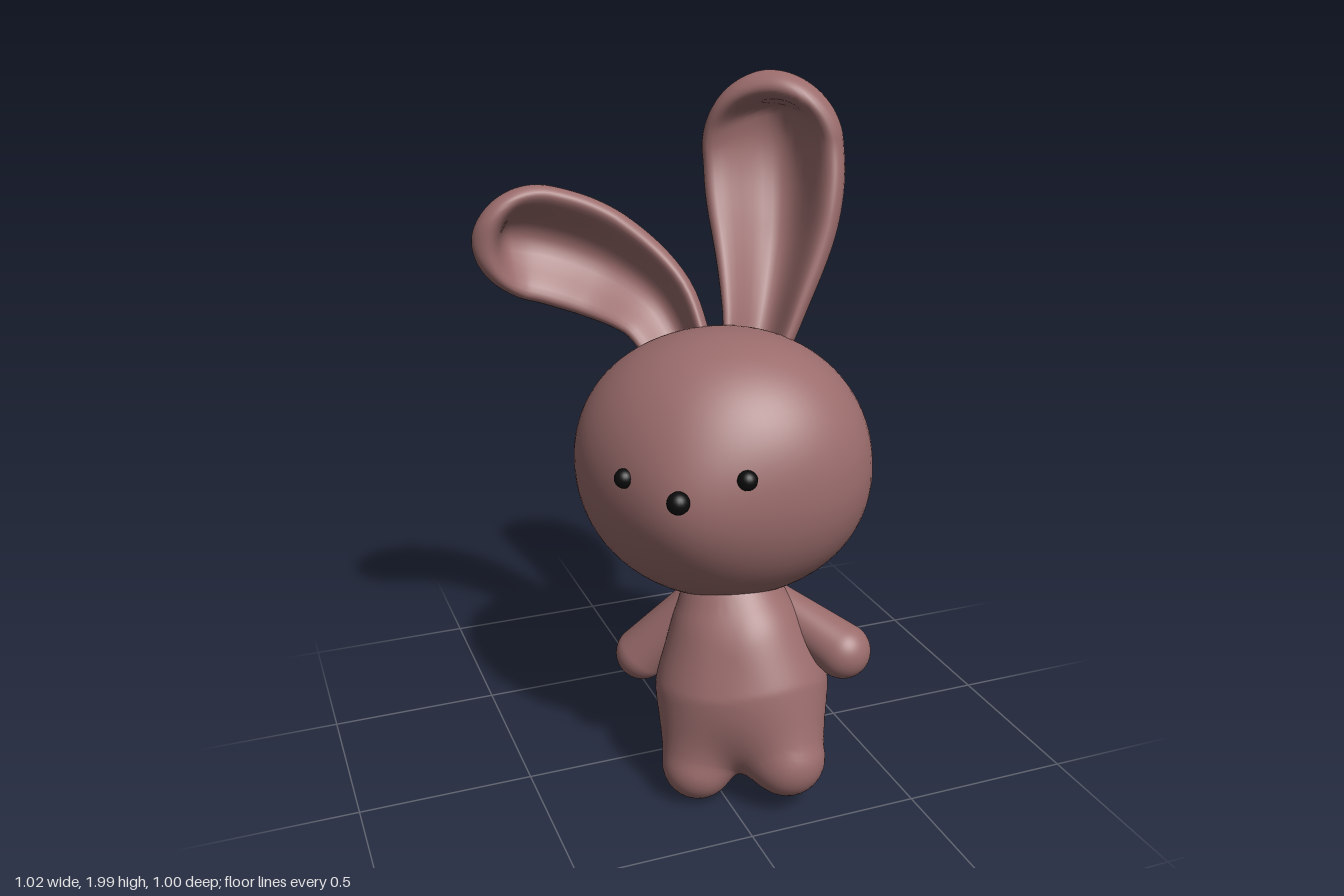
import * as THREE from 'three';
import { mergeVertices } from 'three/addons/utils/BufferGeometryUtils.js';

const V = (x, y, z) => new THREE.Vector3(x, y, z);
const { lerp, smoothstep, clamp } = THREE.MathUtils;
const fur = new THREE.MeshStandardMaterial({ color: 0x9b6c6c });
fur.name = 'dusty pink fur';
const black = new THREE.MeshStandardMaterial({ color: 0x0b0b0b });
black.name = 'black';

function part(name, geometry, material = fur) {
  const mesh = new THREE.Mesh(geometry, material);
  mesh.name = name;
  return mesh;
}

// Unit sphere whose vertices are moved by a rule, with seamless smooth normals
function mouldedSphere(rule, cols = 72, rows = 48) {
  let g = new THREE.SphereGeometry(1, cols, rows);
  g.deleteAttribute('uv');
  g.deleteAttribute('normal');
  g = mergeVertices(g, 1e-5);
  const pos = g.attributes.position;
  const p = V(0, 0, 0);
  for (let i = 0; i < pos.count; i++) {
    rule(p.fromBufferAttribute(pos, i));
    pos.setXYZ(i, p.x, p.y, p.z);
  }
  g.computeVertexNormals();
  return g;
}

// Distance to a tapered limb running from a (radius ra) to b (radius rb)
function limb(a, ra, b, rb) {
  const ab = b.clone().sub(a);
  const q = V(0, 0, 0);
  return (p) => {
    const t = clamp(q.subVectors(p, a).dot(ab) / ab.lengthSq(), 0, 1);
    return q.addScaledVector(ab, -t).length() - lerp(ra, rb, t);
  };
}

// Skin stretched smoothly over a set of limbs, seen from an inner centre
function skin(centre, limbs, blend = 0.1) {
  const field = (p) => limbs.map((f) => f(p)).reduce((m, d) => {
    const h = Math.max(blend - Math.abs(m - d), 0) / blend;
    return Math.min(m, d) - h * h * blend / 4;
  });
  const q = V(0, 0, 0);
  return mouldedSphere((p) => {
    let t = 0;
    for (let i = 0; i < 50; i++) t -= 0.9 * field(q.copy(centre).addScaledVector(p, t));
    p.multiplyScalar(t).add(centre);
  }, 96, 72);
}

// Scooped ear: cupped cross-sections swept along a curved spine
function ear(spine, face0, face1, wBase, wMax, dBase, dMax) {
  const curve = new THREE.CatmullRomCurve3(spine);
  const rings = 56, sides = 48, pos = [], index = [];
  for (let i = 0; i <= rings; i++) {
    const u = i / rings;
    const t = 1 - (1 - u) * (1 - u);
    const centre = curve.getPointAt(t), T = curve.getTangentAt(t);
    const n = face0.clone().lerp(face1, t);
    n.addScaledVector(T, -n.dot(T)).normalize();
    const s = n.clone().cross(T);
    const cap = t > 0.75 ? Math.sqrt(Math.max(1 - ((t - 0.75) / 0.25) ** 2, 1e-6)) : 1;
    const grow = smoothstep(t, -0.1, 0.66);
    const w = lerp(wBase, wMax, grow) * cap;
    const d = lerp(dBase, dMax, grow) * cap;
    const scoop = 1.35 * (1 - smoothstep(t, 0.84, 1));
    for (let j = 0; j < sides; j++) {
      const a = (j / sides) * Math.PI * 2;
      const sin = Math.sin(a), cos = Math.cos(a);
      const v = d * (sin + 0.3 * cos * cos - scoop * Math.max(sin, 0) ** 4);
      const p = centre.clone().addScaledVector(s, w * cos).addScaledVector(n, v);
      pos.push(p.x, p.y, p.z);
      if (i < rings) {
        const k = i * sides, j2 = (j + 1) % sides;
        index.push(k + j, k + j2, k + sides + j2, k + j, k + sides + j2, k + sides + j);
      }
    }
  }
  const g = new THREE.BufferGeometry();
  g.setAttribute('position', new THREE.Float32BufferAttribute(pos, 3));
  g.setIndex(index);
  g.computeVertexNormals();
  return g;
}

export function createModel() {
  const model = new THREE.Group();
  model.name = 'rabbit';

  // Head: turned ellipsoid, fuller behind, with cheeks and a small muzzle swelling
  const head = part('head', mouldedSphere((p) => {
    const flat = (Math.abs(p.x) ** 1.9 + Math.abs(p.z) ** 1.9) ** (1 / 1.9);
    p.multiplyScalar((flat ** 2.1 + Math.abs(p.y) ** 2.1) ** (-1 / 2.1));
    p.multiply(V(0.43, 0.384, p.z > 0 ? 0.358 : 0.402));
    if (p.z > 0) p.z += 0.038 * Math.exp(-(p.x * p.x + (p.y + 0.03) ** 2) / 0.035);
  }));
  head.position.set(0.081, 0.95, 0.05);
  head.rotation.set(0, -0.67, 0.1, 'YXZ');
  model.add(head);

  // Eyes and nose
  const face = [
    ['rightEye', -0.26, 1.003, 0.205, 0.027],
    ['leftEye', 0.005, 1.037, 0.415, 0.027],
    ['nose', -0.167, 0.98, 0.366, 0.031],
  ];
  for (const [name, x, y, z, r] of face) {
    const dot = part(name, new THREE.SphereGeometry(r, 20, 14), black);
    dot.position.set(x, y, z);
    model.add(dot);
  }

  // Ears: left upright, right flopping outwards
  model.add(part('leftEar', ear(
    [V(0.2, 1.22, 0), V(0.255, 1.36, -0.05), V(0.325, 1.58, -0.14), V(0.345, 1.8, -0.205), V(0.285, 2.0, -0.18)],
    V(-0.62, 0, 0.78), V(-0.66, 0, 0.75), 0.085, 0.207, 0.075, 0.128)));
  model.add(part('rightEar', ear(
    [V(0.04, 1.2, -0.09), V(-0.025, 1.37, -0.205), V(-0.15, 1.468, -0.335), V(-0.32, 1.528, -0.4), V(-0.51, 1.55, -0.365)],
    V(-0.62, 0, 0.78), V(0.1, -0.1, 1), 0.092, 0.17, 0.07, 0.102)));

  // Body: pear-shaped torso blended with chest, rump and two stubby legs
  model.add(part('body', skin(V(0.07, 0.32, 0.23), [
    limb(V(0.085, 0.345, 0.215), 0.205, V(0.075, 0.58, 0.155), 0.135),
    limb(V(0.05, 0.46, 0.185), 0.15, V(0.105, 0.46, 0.225), 0.15),
    limb(V(0.165, 0.27, 0.14), 0.12, V(0.12, 0.35, 0.18), 0.15),
    limb(V(-0.005, 0.3, 0.195), 0.15, V(-0.064, 0.115, 0.25), 0.104),
    limb(V(0.145, 0.31, 0.285), 0.15, V(0.152, 0.165, 0.385), 0.11),
  ])));

  // Arms: narrower at the shoulder, round at the paw
  const arms = [
    ['leftArm', V(0.2, 0.555, 0.2), V(0.322, 0.465, 0.374)],
    ['rightArm', V(-0.02, 0.545, 0.085), V(-0.142, 0.355, -0.006)],
  ];
  for (const [name, shoulder, paw] of arms) {
    model.add(part(name, skin(shoulder.clone().lerp(paw, 0.6), [limb(shoulder, 0.055, paw, 0.079)])));
  }

  // Tail
  const tail = part('tail', new THREE.SphereGeometry(0.095, 40, 28));
  tail.position.set(0.255, 0.217, 0.025);
  model.add(tail);

  return model;
}
